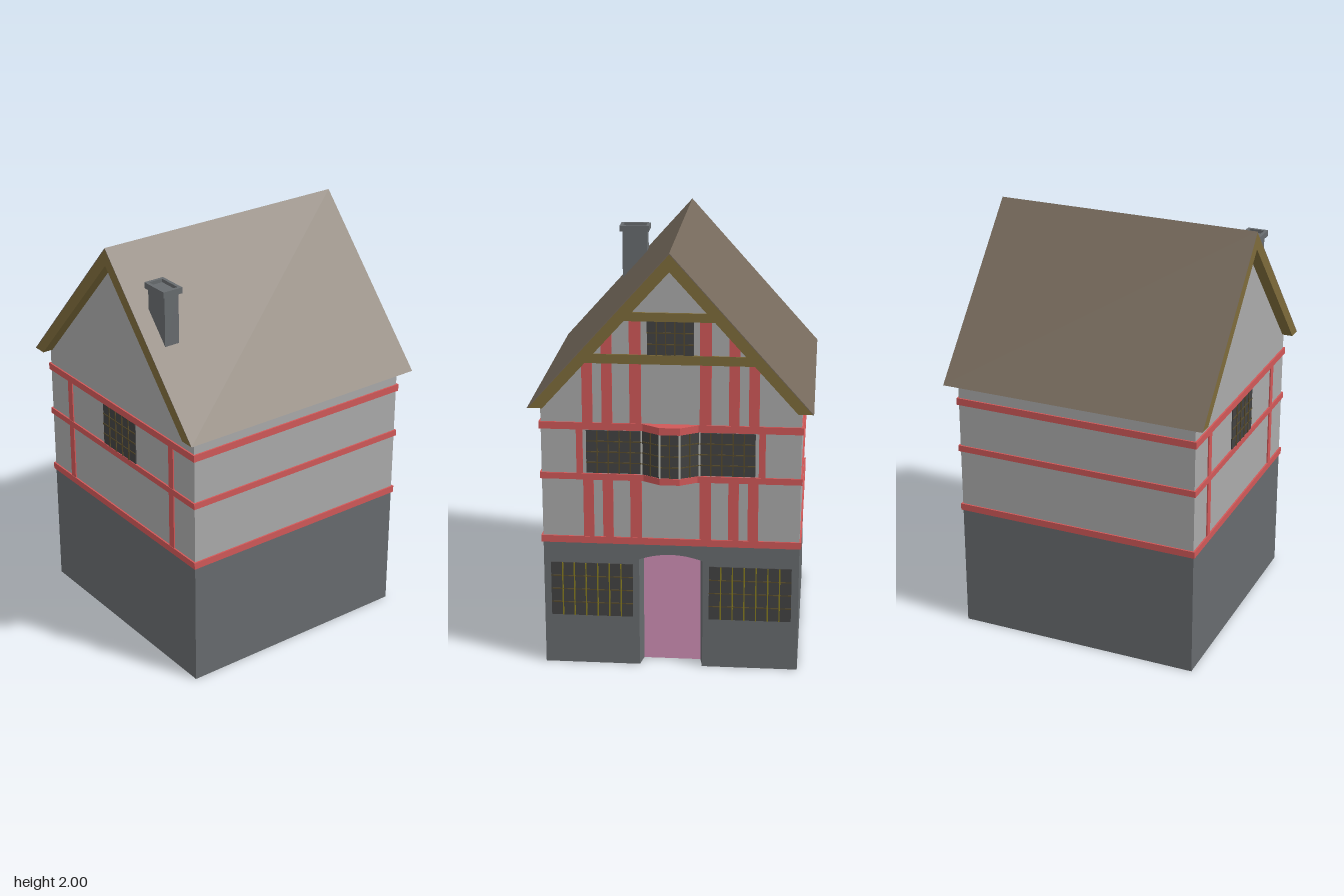
import * as THREE from 'three';

const mat = (name, color, side = THREE.FrontSide) => {
  const m = new THREE.MeshStandardMaterial({ color, side });
  m.name = name;
  return m;
};

export function createModel() {
  const M = {
    stone: mat('stone', 0x676b6e, THREE.DoubleSide),
    plaster: mat('plaster', 0xaaaaaa),
    timber: mat('red timber', 0xd05858),
    oak: mat('oak', 0x7d6b3a),
    roof: mat('roof covering', 0x766a5c),
    door: mat('door pink', 0xcf8fb5),
    pane: mat('dark pane', 0x424242),
    lead: mat('dark glazing bar', 0x574b2c),
    gilt: mat('yellow glazing bar', 0x857a1f),
    mullion: mat('pale mullion', 0xbcbcb4),
  };
  const model = new THREE.Group();
  const add = (parent, name, geo, m) => {
    const mesh = new THREE.Mesh(geo, m);
    mesh.name = name;
    parent.add(mesh);
    return mesh;
  };
  // Box given by its limits on each axis
  const box = (parent, name, m, x0, x1, y0, y1, z0, z1) => {
    const g = new THREE.BoxGeometry(x1 - x0, y1 - y0, z1 - z0);
    g.translate((x0 + x1) / 2, (y0 + y1) / 2, (z0 + z1) / 2);
    return add(parent, name, g, m);
  };
  const shape = (pts) => new THREE.Shape(pts.map((p) => new THREE.Vector2(...p)));
  const extrude = (s, z0, z1) => new THREE.ExtrudeGeometry(s,
    { depth: z1 - z0, bevelEnabled: false }).translate(0, 0, z0);
  const group = (name, parent = model) => {
    const g = new THREE.Group();
    g.name = name;
    parent.add(g);
    return g;
  };

  const X0 = -0.603, X1 = 0.587, Z = 0.595, BASE = 0.612;

  // Gable ends: local x runs along the wall, local z points outwards
  const facade = group('facade');
  facade.rotation.y = Math.PI / 2;
  const rear = group('rearWall');
  rear.rotation.y = -Math.PI / 2;

  // Leaded window: a thin pane with vertical and horizontal bars
  const leadedWindow = (parent, name, x0, x1, y0, y1, z, cols, rows, vBar, hBar) => {
    const g = group(name, parent);
    box(g, 'pane', M.pane, x0, x1, y0, y1, z, z + 0.005);
    for (let i = 1; i < cols; i++) {
      const x = x0 + (x1 - x0) * i / cols;
      box(g, 'verticalBar', vBar, x - 0.003, x + 0.003, y0, y1, z + 0.004, z + 0.009);
    }
    for (let j = 1; j < rows; j++) {
      const y = y0 + (y1 - y0) * j / rows;
      box(g, 'horizontalBar', hBar, x0, x1, y - 0.0025, y + 0.0025, z + 0.004, z + 0.008);
    }
  };

  // Stone ground floor with an arched doorway in the facade
  const arch = (w, spring, top) => {
    const pts = [[w, 0], [w, spring]];
    for (let i = 1; i < 12; i++) {
      const t = 1 - i / 6;
      pts.push([w * t, spring + (top - spring) * (1 - t * t)]);
    }
    return pts.concat([[-w, spring], [-w, 0]]);
  };
  const outer = arch(0.148, 0.535, 0.562), inner = arch(0.134, 0.528, 0.55);
  add(facade, 'stoneFrontWall', new THREE.ShapeGeometry(
    shape([[Z, 0], [Z, BASE], [-Z, BASE], [-Z, 0], ...outer.slice().reverse()])).translate(0, 0, X1), M.stone);
  const reveal = new THREE.BufferGeometry();
  const rp = [], ri = [];
  outer.forEach((p, i) => {
    rp.push(...p, X1, ...inner[i], X1 - 0.075);
    if (i) ri.push(2 * i - 2, 2 * i - 1, 2 * i, 2 * i, 2 * i - 1, 2 * i + 1);
  });
  reveal.setAttribute('position', new THREE.Float32BufferAttribute(rp, 3));
  reveal.setIndex(ri);
  const flatReveal = reveal.toNonIndexed();
  flatReveal.computeVertexNormals();
  add(facade, 'doorReveal', flatReveal, M.stone);
  add(facade, 'door', extrude(shape(inner), X1 - 0.085, X1 - 0.075), M.door);
  for (const s of [-1, 1]) {
    box(model, 'stoneSideWall', M.stone, X0, X1, 0, BASE, s > 0 ? Z - 0.01 : -Z, s > 0 ? Z : -Z + 0.01);
    box(model, 'floor', M.stone, X0, X1 - 0.001, 0, 0.004, s > 0 ? 0.145 : -Z, s > 0 ? Z : -0.145);
  }
  box(model, 'stoneRearWall', M.stone, X0, X0 + 0.01, 0, BASE, -Z, Z);

  // Plastered upper storeys and gables
  const upper = extrude(shape([[-Z, BASE], [Z, BASE], [Z, 1.285], [0, 1.93], [-Z, 1.285]]), X0, X1);
  add(facade, 'upperWalls', upper, M.plaster);

  // Horizontal bands around the house
  for (const [y0, y1] of [[0.612, 0.645], [0.925, 0.955], [1.166, 1.2]])
    box(model, 'timberBand', M.timber, X0 - 0.008, X1 + 0.008, y0, y1, -Z - 0.008, Z + 0.008);

  // Facade timbers, mirrored about the middle
  const F = X1 - 0.005, FT = X1 + 0.006;
  const posts = [[0.133, 0.186, 1.69], [0.265, 0.313, 1.63], [0.355, 0.403, 1.49]];
  for (const s of [-1, 1]) {
    const post = (a, b, y0, y1) => box(facade, 'timberPost', M.timber,
      Math.min(s * a, s * b), Math.max(s * a, s * b), y0, y1, F, FT);
    for (const [a, b, top] of posts) {
      post(a, b, 0.64, 0.93);
      post(a, b, 1.19, top);
    }
    post(0.403, 0.433, 0.95, 1.17);
    box(rear, 'timberPost', M.timber, s * 0.42 - 0.018, s * 0.42 + 0.018, 0.64, 1.17, -X0 - 0.005, -X0 + 0.006);
    // Ground floor and first floor windows
    const c = s * 0.37;
    leadedWindow(facade, 'groundWindow', c - 0.192, c + 0.192, 0.245, 0.51, X1, 7, 4, M.gilt, M.lead);
    const u = s * 0.26;
    leadedWindow(facade, 'upperWindow', u - 0.127, u + 0.127, 0.958, 1.163, X1, 5, 4, M.lead, M.lead);
  }
  box(facade, 'lowerGableBeam', M.oak, -0.405, 0.405, 1.482, 1.525, F, FT + 0.004);
  box(facade, 'upperGableBeam', M.oak, -0.22, 0.22, 1.68, 1.72, F, FT + 0.004);
  leadedWindow(facade, 'atticWindow', -0.105, 0.105, 1.522, 1.68, X1, 5, 3, M.lead, M.lead);
  leadedWindow(rear, 'rearWindow', -0.13, 0.135, 0.955, 1.166, -X0, 5, 4, M.lead, M.lead);

  // Three-sided bay window with red sill and head
  const bay = group('bayWindow', facade);
  bay.position.z = X1;
  const plan = [[-0.133, 0], [-0.045, 0.05], [0.045, 0.05], [0.133, 0]];
  const slab = (name, y0, y1, k, m) => {
    const g = extrude(shape(plan.map(([x, z]) => [x * (1 + k), -z * (1 + 4 * k)])), 0, y1 - y0);
    g.rotateX(-Math.PI / 2).translate(0, y0, 0);
    add(bay, name, g, m);
  };
  slab('baySill', 0.925, 0.956, 0.03, M.timber);
  slab('bayHead', 1.166, 1.2, 0.05, M.timber);
  for (let i = 0; i < 3; i++) {
    const [ax, az] = plan[i], [bx, bz] = plan[i + 1];
    const side = group('baySide', bay);
    side.position.set(ax, 0, az);
    side.rotation.y = -Math.atan2(bz - az, bx - ax);
    leadedWindow(side, 'bayGlazing', 0, Math.hypot(bx - ax, bz - az), 0.955, 1.167, -0.004, 2, 4, M.lead, M.lead);
  }
  for (const [x, z] of plan)
    box(bay, 'mullion', M.mullion, x - 0.004, x + 0.004, 0.955, 1.167, z - 0.005, z + 0.006);

  // Steep roof: oak-edged slab with a thin covering
  const R0 = -0.655, R1 = 0.637, E = 0.648, EY = 1.276;
  const chevron = (o, top, i, bottom) =>
    extrude(shape([[-o, EY], [-i, EY], [0, bottom], [i, EY], [o, EY], [0, top]]), R0, R1);
  add(facade, 'roofTimber', chevron(E - 0.005, 1.994, 0.578, 1.915), M.oak);
  add(facade, 'roofCovering', chevron(E, 2, E - 0.005, 1.994), M.roof);

  // Chimney with a hollow cap
  const chimney = group('chimney');
  box(chimney, 'chimneyStack', M.stone, -0.572, -0.497, 1.6, 1.872, 0.215, 0.34);
  const cap = shape([[-0.585, -0.353], [-0.485, -0.353], [-0.485, -0.205], [-0.585, -0.205]]);
  cap.holes.push(new THREE.Path([[-0.57, -0.338], [-0.57, -0.22], [-0.5, -0.22], [-0.5, -0.338]]
    .map((p) => new THREE.Vector2(...p))));
  add(chimney, 'chimneyCap', extrude(cap, 0, 0.028).rotateX(-Math.PI / 2).translate(0, 1.86, 0), M.stone);

  return model;
}
